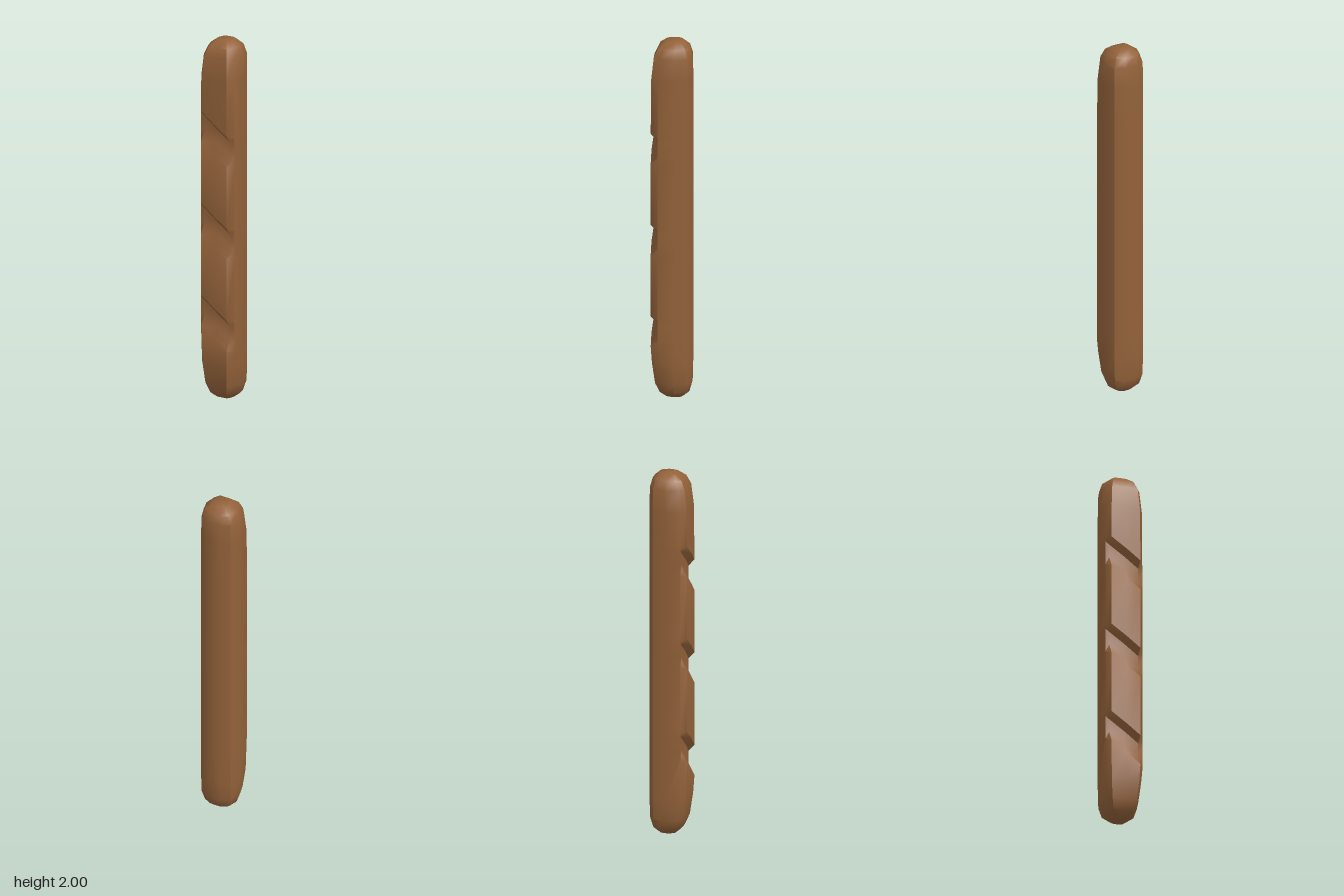
import * as THREE from 'three';
import { toCreasedNormals } from 'three/addons/utils/BufferGeometryUtils.js';

// Cross-section: u runs across the loaf, v points from its flat base to its crust
const SECTION = [
  [0.04, -0.12], [0.09, -0.092], [0.111, -0.022], [0.104, 0.064], [0.077, 0.103],
  [0, 0.102], [-0.086, 0.093], [-0.108, 0.06], [-0.111, -0.025], [-0.088, -0.094], [-0.038, -0.12],
];
const CENTRE_V = -0.03;
const SLASH_SLOPE = -0.72;
const SLASH_DEPTH = 0.032;

// Rings along the loaf: height, base scale, crust scale, slash depth, slant
function makeRings() {
  const rings = [
    [0, 0.43, 0.38, 0, 0], [0.03, 0.8, 0.65, 0, 0],
    [0.085, 0.97, 0.83, 0, 0], [0.2, 1, 0.95, 0, 0],
  ];
  for (const y of [0.45, 0.965, 1.48]) {
    rings.push([y - 0.1, 1, 1, 0, SLASH_SLOPE]);
    rings.push([y - 0.04, 1, 1, SLASH_DEPTH, SLASH_SLOPE]);
    rings.push([y + 0.035, 1, 1, SLASH_DEPTH, SLASH_SLOPE]);
    rings.push([y + 0.07, 1, 1, 0, SLASH_SLOPE]);
  }
  rings.push([1.8, 1, 0.98, 0, 0], [1.92, 0.98, 0.88, 0, 0],
    [1.97, 0.82, 0.7, 0, 0], [2, 0.45, 0.4, 0, 0]);
  return rings;
}

function place(u, v, y) {
  return [(u - v) * Math.SQRT1_2, y, (u + v) * Math.SQRT1_2];
}

function loafGeometry() {
  const rings = makeRings();
  const n = SECTION.length;
  const positions = [];
  const index = [];
  for (const [y, base, crust, depth, slope] of rings) {
    for (const [u, v] of SECTION) {
      const s = v > 0 ? crust : base;
      const cut = v > 0.08 ? depth : 0;
      positions.push(...place(u * s, CENTRE_V + (v - CENTRE_V) * s - cut, y + slope * u));
    }
  }
  for (let j = 0; j < rings.length - 1; j++) {
    for (let i = 0; i < n; i++) {
      const a = j * n + i, b = j * n + (i + 1) % n;
      index.push(a, a + n, b, b, a + n, b + n);
    }
  }
  // Small flat ends
  const bottom = positions.length / 3;
  positions.push(...place(0, CENTRE_V, 0), ...place(0, CENTRE_V, 2));
  const last = (rings.length - 1) * n;
  for (let i = 0; i < n; i++) {
    const k = (i + 1) % n;
    index.push(bottom, i, k, bottom + 1, last + k, last + i);
  }
  const geometry = new THREE.BufferGeometry();
  geometry.setAttribute('position', new THREE.Float32BufferAttribute(positions, 3));
  geometry.setIndex(index);
  return toCreasedNormals(geometry, 0.75);
}

export function createModel() {
  const group = new THREE.Group();
  group.name = 'baguette';
  const crust = new THREE.MeshStandardMaterial({ color: 0x93623a });
  crust.name = 'brown crust';
  const loaf = new THREE.Mesh(loafGeometry(), crust);
  loaf.name = 'slashedLoaf';
  group.add(loaf);
  return group;
}
